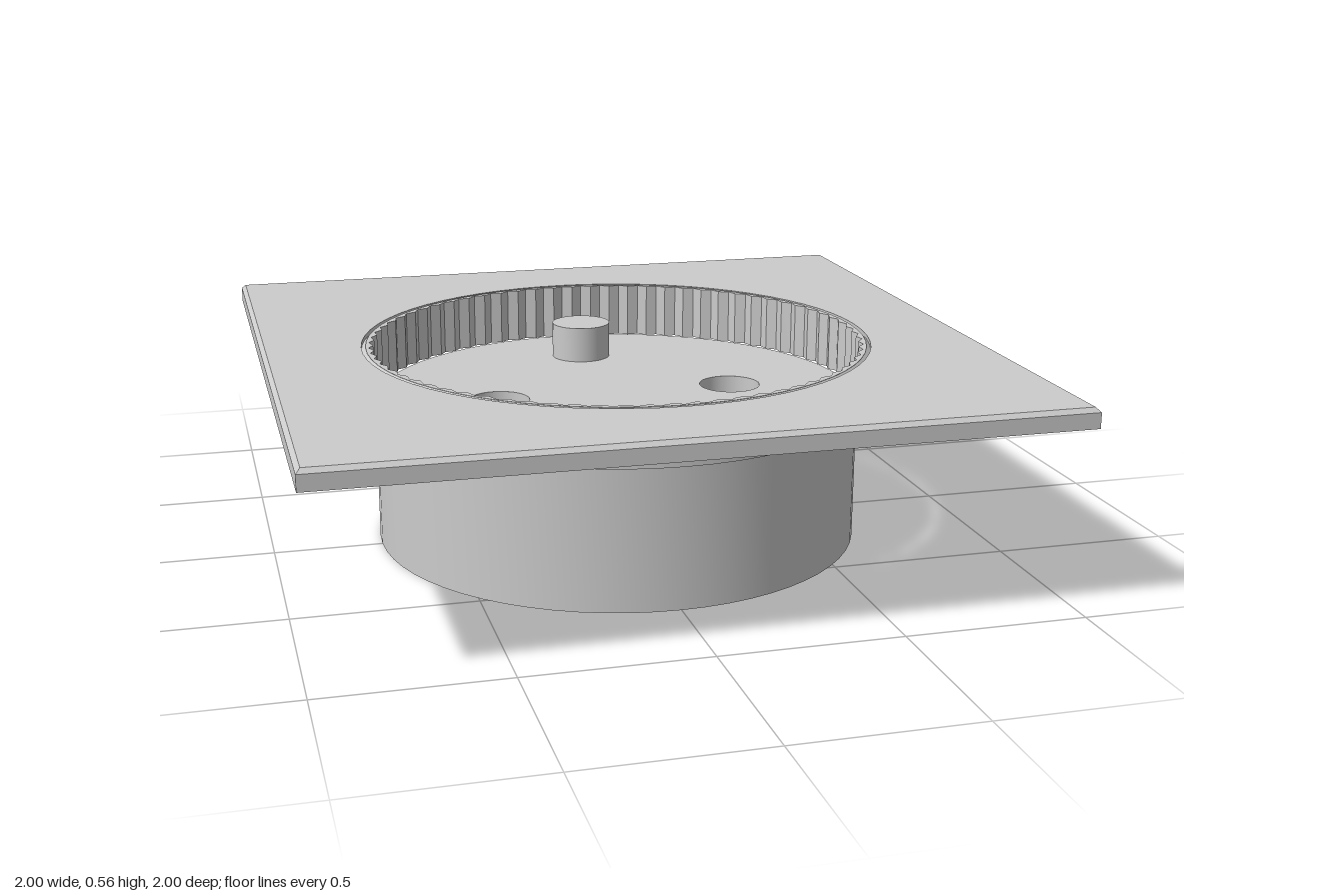
import * as THREE from 'three';
import { toCreasedNormals } from 'three/addons/utils/BufferGeometryUtils.js';

const mat = new THREE.MeshStandardMaterial({ color: 0xcccccc });
const matDouble = new THREE.MeshStandardMaterial({ color: 0xcccccc, side: THREE.DoubleSide });
const matFlat = new THREE.MeshStandardMaterial({ color: 0xcccccc, side: THREE.DoubleSide, flatShading: true });

const FLOOR = 0.405;      // top of the round body, bottom of the collar
const PLATE_Y = 0.51;     // underside of the cover plate
const TOP = 0.565;        // top of the cover plate
const BODY_R = 0.693;
const COLLAR_R = 0.727;
const HOLE_R = 0.088;
const HOLE_X = 0.345;
const HOLE_DEPTH = 0.3;
const SEG = 64;

function add(parent, name, geometry, material = mat) {
  const mesh = new THREE.Mesh(geometry, material);
  mesh.name = name;
  parent.add(mesh);
  return mesh;
}

function lathe(points, segments = SEG) {
  const profile = points.map(([r, y]) => new THREE.Vector2(r, y));
  return toCreasedNormals(new THREE.LatheGeometry(profile, segments), 0.5);
}

function circle(r, x = 0, y = 0) {
  return new THREE.Path().absarc(x, y, r, 0, Math.PI * 2, true);
}

// Flat horizontal face made from a shape, facing up or down
function flatFace(shape, y, up = true) {
  const g = new THREE.ShapeGeometry(shape, SEG / 2);
  return g.rotateX(up ? -Math.PI / 2 : Math.PI / 2).translate(0, y, 0);
}

function square(half) {
  return new THREE.Shape([[-1, -1], [1, -1], [1, 1], [-1, 1]]
    .map(([x, y]) => new THREE.Vector2(x * half, y * half)));
}

// Square plate with a bevelled upper edge and a round opening
function coverPlate() {
  const plate = new THREE.Group();
  plate.name = 'coverPlate';
  const bevel = 0.012;
  const d = Math.SQRT2;
  const edge = lathe([[d, PLATE_Y], [d, TOP - bevel], [d * (1 - bevel), TOP]], 4);
  add(plate, 'plateEdge', edge.rotateY(Math.PI / 4), matFlat);

  const top = square(1 - bevel);
  top.holes.push(circle(COLLAR_R));
  add(plate, 'plateTop', flatFace(top, TOP));

  const bottom = square(1);
  bottom.holes.push(circle(COLLAR_R));
  add(plate, 'plateUnderside', flatFace(bottom, PLATE_Y, false));

  add(plate, 'plateOpening', lathe([[COLLAR_R, PLATE_Y], [COLLAR_R, TOP]]), matDouble);
  return plate;
}

// Ring with a serrated inner wall and a chamfered upper rim
function collar() {
  const ring = new THREE.Group();
  ring.name = 'collar';
  const teeth = 72;
  const shape = new THREE.Shape().absarc(0, 0, 0.715, 0, Math.PI * 2, false);
  const inner = [];
  for (let i = 0; i < teeth * 2; i++) {
    const a = -i / (teeth * 2) * Math.PI * 2;
    const r = i % 2 ? 0.693 : 0.706;
    inner.push(new THREE.Vector2(r * Math.cos(a), r * Math.sin(a)));
  }
  shape.holes.push(new THREE.Path(inner));
  const wall = new THREE.ExtrudeGeometry(shape, {
    depth: TOP - FLOOR, bevelEnabled: false, curveSegments: SEG / 2,
  });
  add(ring, 'serratedWall', wall.rotateX(-Math.PI / 2).translate(0, FLOOR, 0));
  add(ring, 'collarShell', lathe([
    [0.714, FLOOR], [COLLAR_R, FLOOR], [COLLAR_R, TOP - 0.012], [0.714, TOP],
  ]), matDouble);
  return ring;
}

// Round body whose upper face carries two contact holes
function body() {
  const group = new THREE.Group();
  group.name = 'body';
  add(group, 'bodyShell', lathe([[0, 0], [BODY_R, 0], [BODY_R, FLOOR]]));

  const face = new THREE.Shape().absarc(0, 0, BODY_R, 0, Math.PI * 2, false);
  for (const s of [-1, 1]) {
    face.holes.push(circle(HOLE_R, s * HOLE_X, 0));
    const well = lathe([[HOLE_R, FLOOR], [HOLE_R, FLOOR - HOLE_DEPTH], [0, FLOOR - HOLE_DEPTH]], 32);
    add(group, s > 0 ? 'leftContactHole' : 'rightContactHole', well, matDouble).position.x = s * HOLE_X;
  }
  add(group, 'bodyFace', flatFace(face, FLOOR));
  return group;
}

export function createModel() {
  const model = new THREE.Group();
  model.name = 'wallSocket';
  model.add(coverPlate(), collar(), body());

  // Earth pin standing on the body face
  const pinHeight = 0.105;
  const pin = add(model, 'earthPin', new THREE.CylinderGeometry(HOLE_R, HOLE_R, pinHeight, 32));
  pin.position.set(0, FLOOR + pinHeight / 2, -0.44);
  return model;
}
